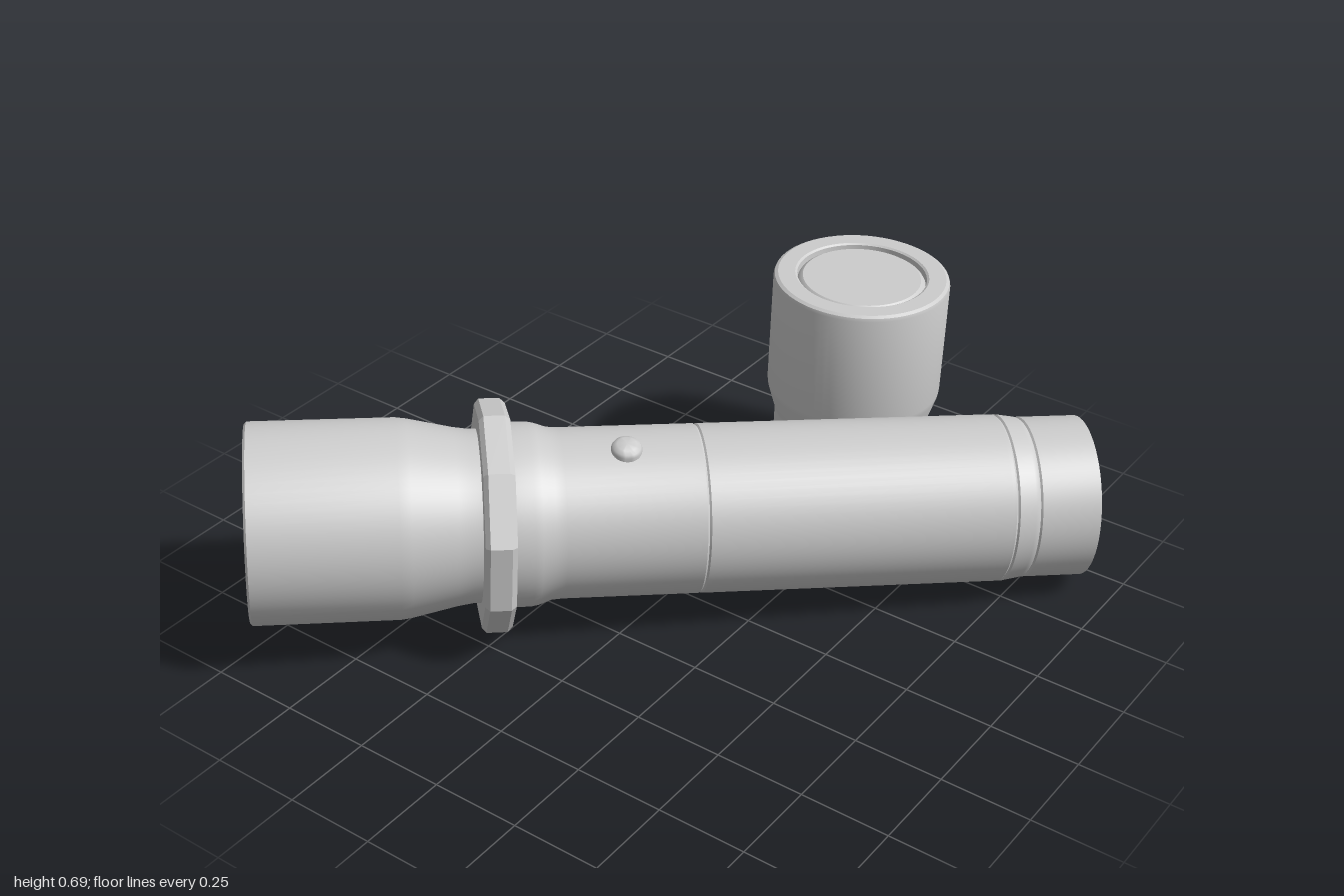
import * as THREE from 'three';
import { toCreasedNormals } from 'three/addons/utils/BufferGeometryUtils.js';

const material = new THREE.MeshStandardMaterial({ color: 0xcccccc, side: THREE.DoubleSide });

// Turned part about +y from [radius, height] pairs
function turned(name, profile, segments = 64, crease = 0.5) {
  const points = profile.map(([r, y]) => new THREE.Vector2(r, y));
  const geometry = toCreasedNormals(new THREE.LatheGeometry(points, segments), crease);
  const mesh = new THREE.Mesh(geometry, material);
  mesh.name = name;
  return mesh;
}

// Shallow seam groove at height s on radius r
const seam = (r, s) => [[r, s - 0.005], [r - 0.004, s], [r, s + 0.005]];

function createTube() {
  const tube = new THREE.Group();
  tube.name = 'tube';

  // Flared head with a recessed lens
  tube.add(turned('lens', [[0, 0.015], [0.2, 0.015], [0.207, 0.019], [0.212, 0.028]]));
  tube.add(turned('head', [
    [0.212, 0.028], [0.214, 0.006], [0.22, 0], [0.262, 0], [0.268, 0.006],
    [0.268, 0.39], [0.264, 0.42], [0.238, 0.54], [0.232, 0.58], [0.232, 0.62],
  ]));

  // Ten-sided collar, one corner upward
  tube.add(turned('collar', [
    [0.22, 0.602], [0.298, 0.602], [0.312, 0.614], [0.312, 0.67], [0.298, 0.684], [0.22, 0.684],
  ], 10, 0.1));

  // Barrel with neck ring, seams and open narrower tail
  tube.add(turned('barrel', [
    [0.247, 0.66], [0.247, 0.735], [0.243, 0.755], [0.231, 0.79], [0.229, 0.82],
    ...seam(0.229, 1.19), [0.229, 2.005], ...seam(0.229, 2.02),
    [0.222, 2.07], ...seam(0.22, 2.085), [0.22, 2.252],
  ]));

  // Round push button, turned slightly off the top
  const pivot = new THREE.Group();
  pivot.name = 'buttonPivot';
  pivot.rotation.y = 0.21;
  const button = turned('button', [
    [0.041, -0.03], [0.041, 0.01], [0.037, 0.018], [0.026, 0.024], [0, 0.027],
  ], 32, 0.8);
  button.rotation.x = Math.PI / 2;
  button.position.set(0, 0.985, 0.227);
  pivot.add(button);
  tube.add(pivot);

  // Lay the tube along its axis, from head to tail
  const head = new THREE.Vector3(-0.795, 0.355, 0.805);
  const axis = new THREE.Vector3(0.82, 0.23, -0.76).sub(head).normalize();
  const side = new THREE.Vector3().crossVectors(axis, new THREE.Vector3(0, 1, 0)).normalize();
  const up = new THREE.Vector3().crossVectors(side, axis);
  tube.quaternion.setFromRotationMatrix(new THREE.Matrix4().makeBasis(side, axis, up));
  tube.position.copy(head);
  return tube;
}

function createCap() {
  const cap = new THREE.Group();
  cap.name = 'cap';

  // Hollow stepped shell, open at the bottom
  cap.add(turned('capShell', [
    [0.222, 0], [0.222, 0.165], [0.225, 0.175], [0.246, 0.245], [0.248, 0.26],
    [0.248, 0.588], [0.245, 0.597], [0.236, 0.602], [0.188, 0.602], [0.182, 0.598], [0.18, 0.58],
  ]));

  // Inset end disc
  cap.add(turned('capDisc', [[0.18, 0.58], [0.175, 0.588], [0.166, 0.594], [0, 0.594]]));

  cap.position.set(0.092, 0.092, -0.743);
  cap.rotation.set(-0.02, 0, -0.02);
  return cap;
}

export function createModel() {
  const model = new THREE.Group();
  model.name = 'flashlightWithCap';
  model.add(createTube(), createCap());
  return model;
}
